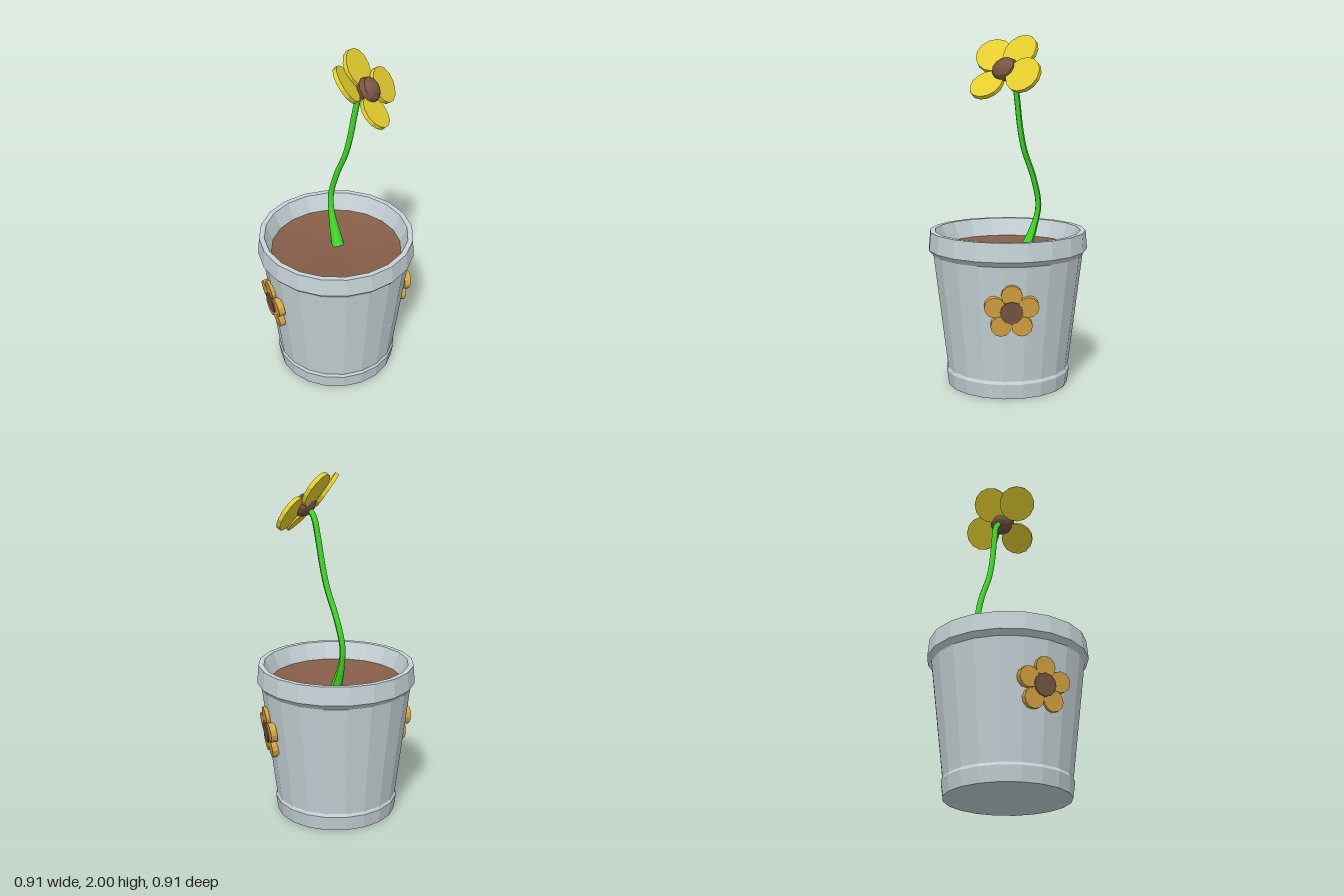
import * as THREE from 'three';

const mat = (name, color, flat = true) => {
  const m = new THREE.MeshStandardMaterial({ color, flatShading: flat });
  m.name = name;
  return m;
};
const MAT = {
  pot: mat('potGrey', 0xc6d3d7),
  soil: mat('soilBrown', 0x855d48),
  stem: mat('stemGreen', 0x3fdc26, false),
  petal: mat('petalYellow', 0xe6d02e),
  ornament: mat('ornamentOchre', 0xd6a440),
  hub: mat('hubBrown', 0x775644),
};

function mesh(name, geometry, material) {
  const m = new THREE.Mesh(geometry, material);
  m.name = name;
  return m;
}

const lathe = (pts) =>
  new THREE.LatheGeometry(pts.map(([r, y]) => new THREE.Vector2(r, y)), 20, 0.227);

// Flat round plate facing +z
const disc = (radius, thickness, sides = 14) =>
  new THREE.CylinderGeometry(radius, radius, thickness, sides).rotateX(Math.PI / 2);

// Tapered stem: the tube's rings are scaled about the curve
function stemGeometry() {
  const curve = new THREE.CatmullRomCurve3([
    [0.072, 0.745, -0.05], [0.095, 0.91, -0.115], [0.11, 1.04, -0.139], [0.115, 1.2, -0.1],
    [0.115, 1.37, -0.03], [0.118, 1.5, 0.002], [0.124, 1.65, 0.027], [0.13, 1.76, 0.052],
    [0.13, 1.81, 0.1],
  ].map((p) => new THREE.Vector3(...p)));
  const rings = 32, sides = 8, radius = 0.017;
  const geo = new THREE.TubeGeometry(curve, rings, radius, sides);
  const pos = geo.attributes.position;
  const v = new THREE.Vector3();
  for (let i = 0; i <= rings; i++) {
    const t = i / rings;
    const c = curve.getPointAt(t);
    const k = 1 + 1.2 * Math.max(0, 1 - t / 0.2);
    for (let j = 0; j <= sides; j++) {
      const n = i * (sides + 1) + j;
      v.fromBufferAttribute(pos, n).sub(c).multiplyScalar(k).add(c);
      pos.setXYZ(n, v.x, v.y, v.z);
    }
  }
  geo.computeVertexNormals();
  return geo;
}

// Blossom: each petal has its own centre, facing direction and radius
function blossom() {
  const g = new THREE.Group();
  g.name = 'blossom';
  const petals = [
    [[-0.01, 1.888, 0.08], [0.5, 0.58, 0.64], 0.108],
    [[0.145, 1.908, 0.02], [0.235, 0.54, 0.81], 0.106],
    [[0.27, 1.785, 0.098], [0.27, 0.52, 0.81], 0.104],
    [[0.08, 1.73, 0.203], [0.27, 0.71, 0.65], 0.097],
  ];
  for (const [centre, facing, radius] of petals) {
    const p = mesh('petal', disc(radius, 0.024), MAT.petal);
    p.lookAt(...facing);
    p.position.set(...centre);
    g.add(p);
  }
  const hub = mesh('flowerCentre', new THREE.SphereGeometry(1, 12, 6).rotateX(Math.PI / 2), MAT.hub);
  hub.scale.set(0.078, 0.074, 0.055);
  hub.lookAt(0.235, 0.62, 0.75);
  hub.position.set(0.13, 1.815, 0.115);
  g.add(hub);
  return g;
}

// Five-petalled ornament facing +z
function ornament() {
  const g = new THREE.Group();
  g.name = 'potOrnament';
  for (let i = 0; i < 5; i++) {
    const a = Math.PI * (0.5 + 0.4 * i);
    const p = mesh('ornamentPetal', disc(0.058, 0.036, 12), MAT.ornament);
    p.position.set(0.097 * Math.cos(a), 0.097 * Math.sin(a), 0);
    g.add(p);
  }
  g.add(mesh('ornamentCentre', disc(0.064, 0.05, 12), MAT.hub));
  return g;
}

export function createModel() {
  const model = new THREE.Group();
  model.name = 'pottedFlower';

  // Pot: base band, flared wall, rim and inner wall
  model.add(mesh('pot', lathe([
    [0, 0], [0.35, 0], [0.362, 0.085], [0.354, 0.102], [0.434, 0.765],
    [0.459, 0.795], [0.45, 0.9], [0.42, 0.9], [0.381, 0.795], [0.375, 0.74],
  ]), MAT.pot));

  // Soil: a shallow dish, its low point shifted towards the stem
  const soil = lathe([[0.39, 0.8], [0.32, 0.783], [0.1, 0.756], [0, 0.752]]);
  const sp = soil.attributes.position;
  for (let i = 0; i < sp.count; i++) {
    const k = 1 - Math.hypot(sp.getX(i), sp.getZ(i)) / 0.39;
    sp.setX(i, sp.getX(i) + 0.06 * k);
    sp.setZ(i, sp.getZ(i) - 0.06 * k);
  }
  model.add(mesh('soil', soil, MAT.soil));

  model.add(mesh('stem', stemGeometry(), MAT.stem));
  model.add(blossom());

  // Two ornaments on the pot wall, leaning with it
  for (const deg of [56, 245]) {
    const a = THREE.MathUtils.degToRad(deg);
    const o = ornament();
    o.rotation.set(0.119, a, 0, 'YXZ');
    o.position.set(0.401 * Math.sin(a), 0.513, 0.401 * Math.cos(a));
    model.add(o);
  }
  return model;
}
